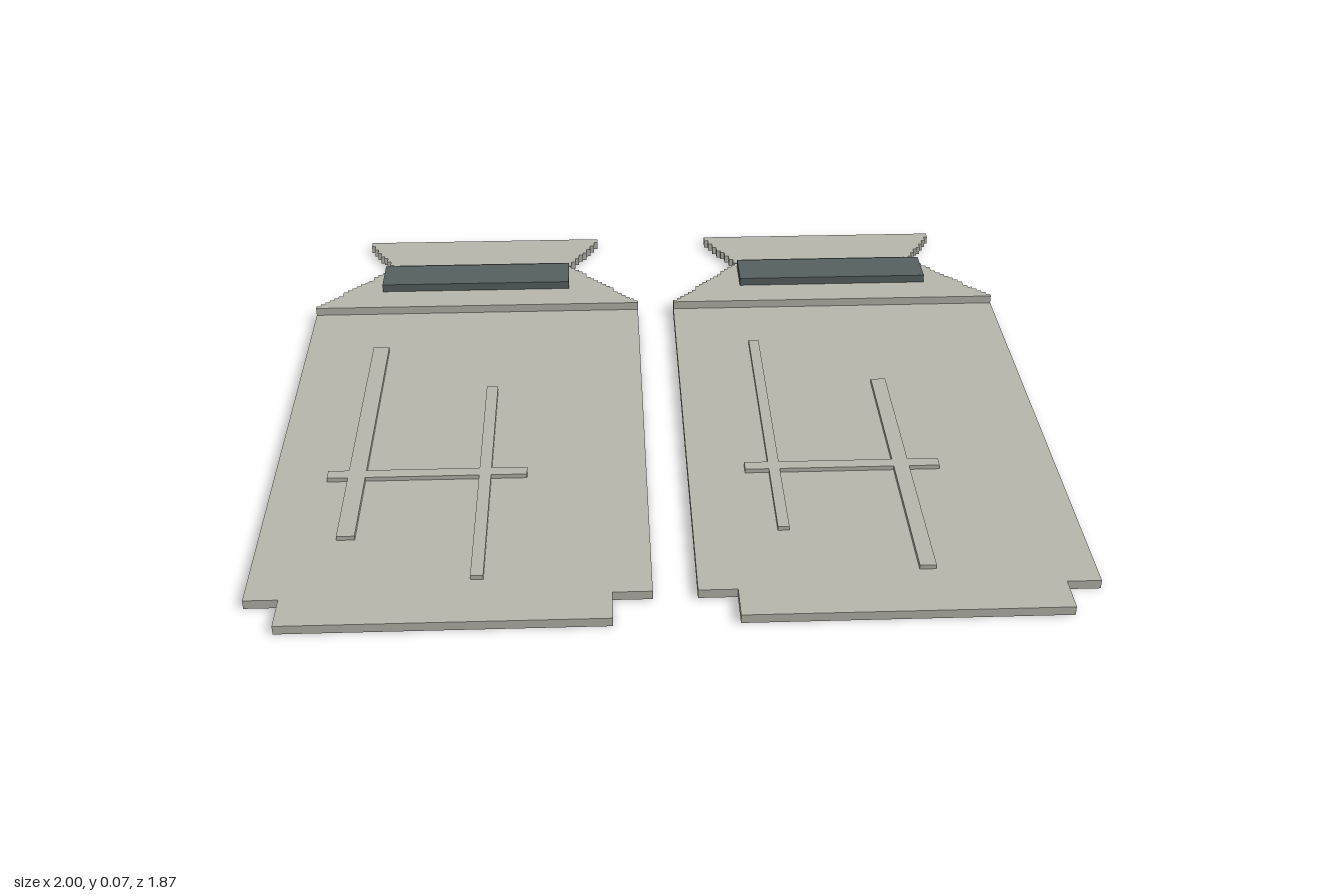
import * as THREE from 'three';

// One grid cell; every part sits on a 171 x 160 cell layout.
const U = 2 / 171, WIDTH = 81, DEPTH = 160;

const paleGrey = new THREE.MeshStandardMaterial({ color: 0xb5b5ac });
const slateGrey = new THREE.MeshStandardMaterial({ color: 0x566060 });
paleGrey.name = 'pale grey';
slateGrey.name = 'slate grey';

// Flat slab from an outline given in x, z cells
function slab(name, points, height, hole) {
  const shape = new THREE.Shape(points.map(([x, z]) => new THREE.Vector2(x, z)));
  if (hole) shape.holes.push(new THREE.Path(hole.map(([x, z]) => new THREE.Vector2(x, z))));
  const geo = new THREE.ExtrudeGeometry(shape, { depth: height, bevelEnabled: false });
  geo.rotateX(Math.PI / 2).translate(0, height, 0);
  const mesh = new THREE.Mesh(geo, paleGrey);
  mesh.name = name;
  return mesh;
}

function block(name, material, x0, x1, y0, y1, z0, z1) {
  const geo = new THREE.BoxGeometry(x1 - x0, y1 - y0, z1 - z0);
  geo.translate((x0 + x1) / 2, (y0 + y1) / 2, (z0 + z1) / 2);
  const mesh = new THREE.Mesh(geo, material);
  mesh.name = name;
  return mesh;
}

// Symmetric outline with stepped sides; inset(k) is the side inset of row k
function steppedOutline(z0, rows, inset) {
  const left = [], right = [];
  for (let k = 0; k < rows; k++) {
    const x = inset(k);
    for (const z of [z0 + k, z0 + k + 1]) {
      left.push([x, z]);
      right.unshift([WIDTH - x, z]);
    }
  }
  // drop repeated points where neighbouring rows are equally wide
  return [...left, ...right].filter((p, i, a) => !i || p[0] !== a[i - 1][0] || p[1] !== a[i - 1][1]);
}

function panel(name, mirrored, ridges) {
  const group = new THREE.Group();
  group.name = name;
  const mx = ([x, z]) => [mirrored ? WIDTH - x : x, z];

  // Main plate with notched front corners
  const plate = [[0, 39], [81, 39], [81, 152], [73, 152], [73, 160], [7, 160], [7, 152], [0, 152]];
  group.add(slab('mainPlate', plate.map(mx), 2));

  // Raised tapering neck, pierced for the dark insert
  const slot = [[16, 21], [63.5, 21], [63.5, 31], [16, 31]].map(mx);
  const neck = steppedOutline(17, 22, k => Math.round(19 * (1 - (k + 0.5) / 22)));
  group.add(slab('raisedNeck', neck, 4, slot));
  const xs = slot.map(p => p[0]);
  group.add(block('darkInsert', slateGrey, Math.min(...xs), Math.max(...xs), 0, 6, 21, 31));

  // Flared tail
  group.add(slab('flaredTail', steppedOutline(0, 17, k => 10 + Math.floor(9 * (k + 0.5) / 17)), 2));

  // Crossed ridges on the plate
  const [long, short, cross] = ridges;
  group.add(block('longRidge', paleGrey, ...long, 2, 3, 57, 133));
  group.add(block('shortRidge', paleGrey, ...short, 2, 3, 76, 147));
  // cross ridge is split where it meets the other two
  for (const [a, b] of [[cross[0], long[0]], [long[1], short[0]], [short[1], cross[1]]])
    group.add(block('crossRidge', paleGrey, a, b, 2, 3, 109.3, 112));

  group.scale.setScalar(U);
  group.position.set(mirrored ? 4.5 * U : -1, 0, -DEPTH / 2 * U);
  return group;
}

export function createModel() {
  const model = new THREE.Group();
  model.name = 'pairOfPanels';
  model.add(panel('rightPanel', false, [[16.2, 20], [44.6, 47.2], [11.7, 55]]));
  model.add(panel('leftPanel', true, [[17.7, 20.1], [45.1, 48.5], [12.5, 55.2]]));
  return model;
}
